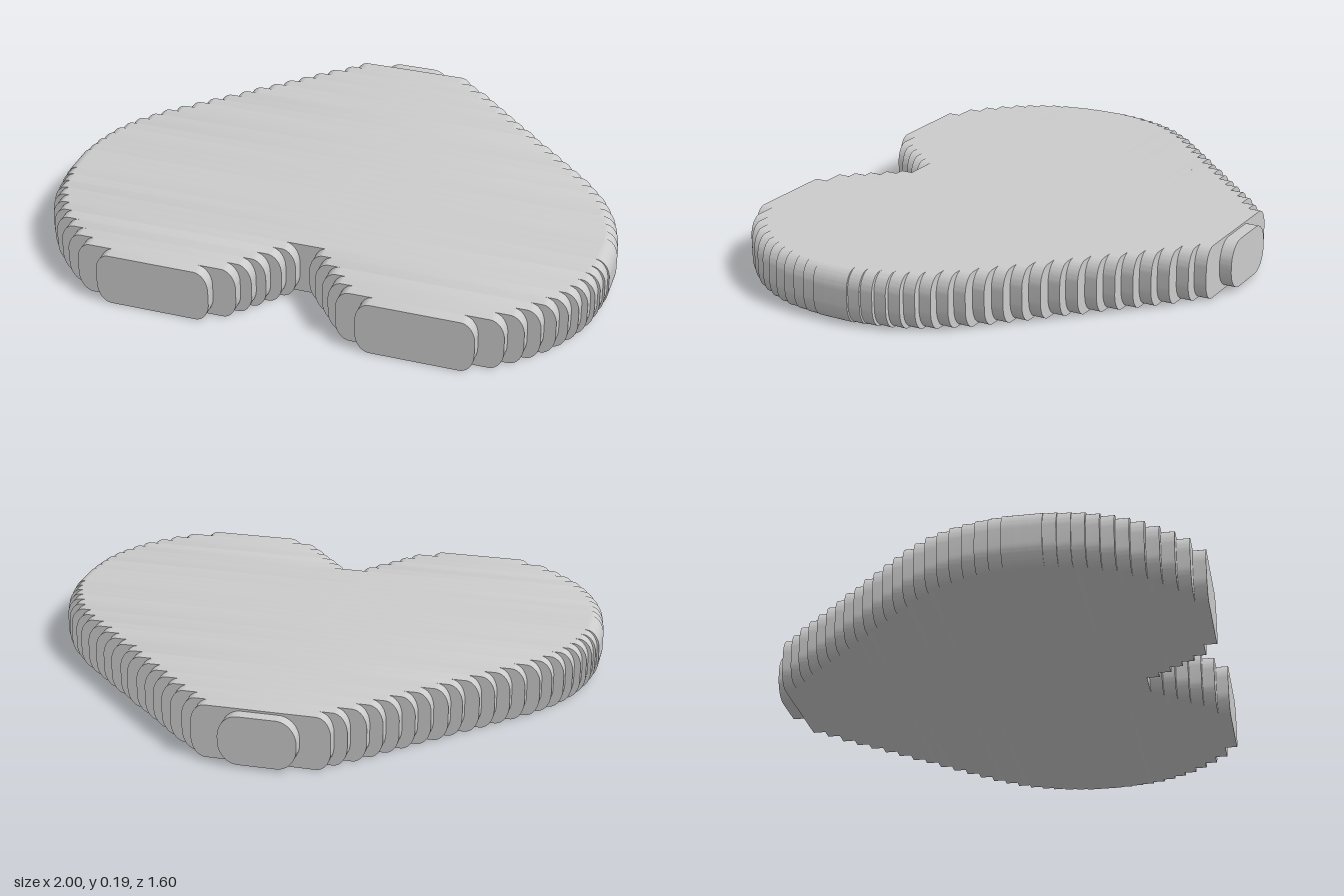
import * as THREE from 'three';
import { toCreasedNormals } from 'three/addons/utils/BufferGeometryUtils.js';

const LAYERS = 36;
const DEPTH = 1.6 / LAYERS;

// Half-width of the heart at each slice, from the tip (-z) to the lobes (+z)
const OUTER = [
  0.135, 0.24, 0.285, 0.34, 0.385, 0.43, 0.475, 0.52, 0.57, 0.61, 0.66, 0.705,
  0.75, 0.795, 0.84, 0.875, 0.91, 0.935, 0.957, 0.972, 0.985, 0.993, 1, 1,
  1, 0.995, 0.988, 0.98, 0.965, 0.945, 0.92, 0.89, 0.85, 0.805, 0.75, 0.663,
];
// Half-width of the notch between the lobes, for the last slices
const NOTCH = [0.025, 0.06, 0.1, 0.135, 0.175, 0.257];

// Rounded cross-section spanning x0..x1 and y0..y1
function sectionShape(x0, x1, y0, y1, rx, ry) {
  const shape = new THREE.Shape();
  const q = Math.PI / 2;
  shape.moveTo(x0 + rx, y0);
  shape.absellipse(x1 - rx, y0 + ry, rx, ry, -q, 0, false, 0);
  shape.absellipse(x1 - rx, y1 - ry, rx, ry, 0, q, false, 0);
  shape.absellipse(x0 + rx, y1 - ry, rx, ry, q, 2 * q, false, 0);
  shape.absellipse(x0 + rx, y0 + ry, rx, ry, 2 * q, 3 * q, false, 0);
  return shape;
}

export function createModel() {
  const model = new THREE.Group();
  model.name = 'slicedHeart';
  const material = new THREE.MeshStandardMaterial({ color: 0xcccccc });

  function addSlice(name, i, x0, x1) {
    // The tip slice is a little thinner and rounder than the rest
    const tip = i === 0;
    const y0 = tip ? 0.008 : 0;
    const y1 = tip ? 0.184 : 0.192;
    const rx = tip ? 0.07 : 0.05;
    const ry = tip ? 0.08 : 0.07;
    const geometry = new THREE.ExtrudeGeometry(sectionShape(x0, x1, y0, y1, rx, ry), {
      depth: DEPTH, bevelEnabled: false, curveSegments: 8,
    });
    const slice = new THREE.Mesh(toCreasedNormals(geometry, 0.6), material);
    slice.name = name;
    slice.position.z = -0.8 + i * DEPTH;
    model.add(slice);
  }

  OUTER.forEach((w, i) => {
    const k = i - (LAYERS - NOTCH.length);
    if (k < 0) {
      // Solid body
      addSlice('bodySlice', i, -w, w);
    } else {
      // Two mirrored lobes either side of the notch
      addSlice('leftLobeSlice', i, NOTCH[k], w);
      addSlice('rightLobeSlice', i, -w, -NOTCH[k]);
    }
  });

  return model;
}
